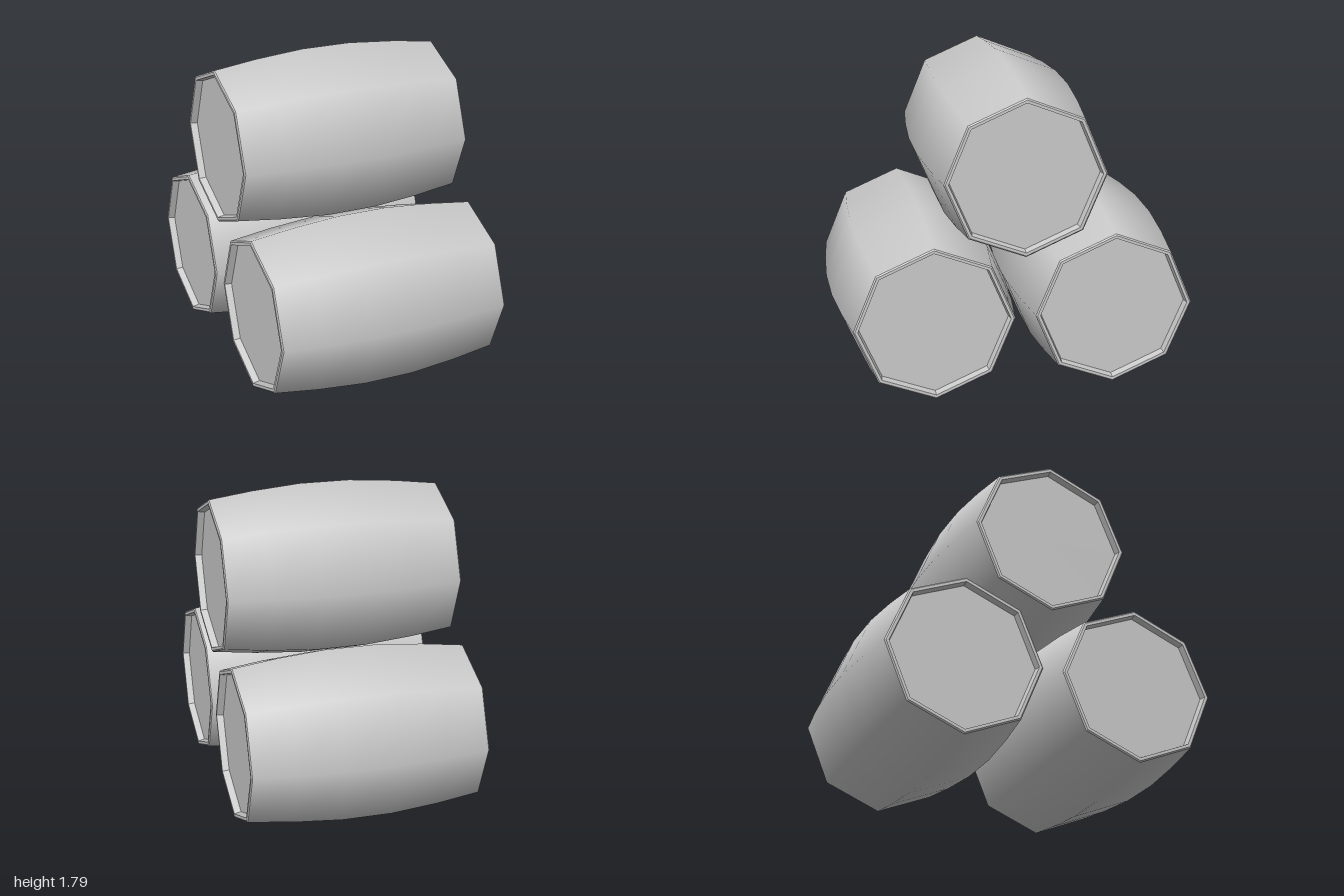
import * as THREE from 'three';

const SIDES = 8;
const smooth = new THREE.MeshStandardMaterial({ color: 0xcccccc });
const faceted = new THREE.MeshStandardMaterial({ color: 0xcccccc, flatShading: true });

const points = (list) => list.map(([r, h]) => new THREE.Vector2(r, h));

// Bulging body, revolved about y
const hullGeometry = new THREE.LatheGeometry(points([
  [0.443, -0.652], [0.475, -0.41], [0.498, -0.14],
  [0.498, 0.14], [0.475, 0.41], [0.443, 0.652],
]), SIDES);

// Chamfered rim with the inner wall going down to the lid
const rimGeometry = new THREE.LatheGeometry(points([
  [0.443, 0.652], [0.435, 0.658], [0.418, 0.658], [0.41, 0.62],
]), SIDES);

// Recessed octagonal lid
const lidGeometry = new THREE.CircleGeometry(0.41, SIDES);
lidGeometry.rotateX(-Math.PI / 2).translate(0, 0.62, 0);

function part(name, geometry, material) {
  const mesh = new THREE.Mesh(geometry, material);
  mesh.name = name;
  return mesh;
}

function createBarrel(name, y, z) {
  const barrel = new THREE.Group();
  barrel.name = name;
  barrel.add(part('hull', hullGeometry, smooth));
  // Both ends are the same, one turned over
  for (const [side, turn] of [['right', 0], ['left', Math.PI]]) {
    const end = new THREE.Group();
    end.name = side + 'End';
    end.add(part('rim', rimGeometry, faceted), part('lid', lidGeometry, faceted));
    end.rotation.z = turn;
    barrel.add(end);
  }
  barrel.rotation.z = Math.PI / 2; // lay along x
  barrel.position.set(0, y, z);
  return barrel;
}

export function createModel() {
  const model = new THREE.Group();
  model.name = 'barrelStack';
  model.add(
    createBarrel('frontBarrel', 0.5, 0.5),
    createBarrel('backBarrel', 0.5, -0.5),
    createBarrel('topBarrel', 1.296, 0),
  );
  return model;
}
